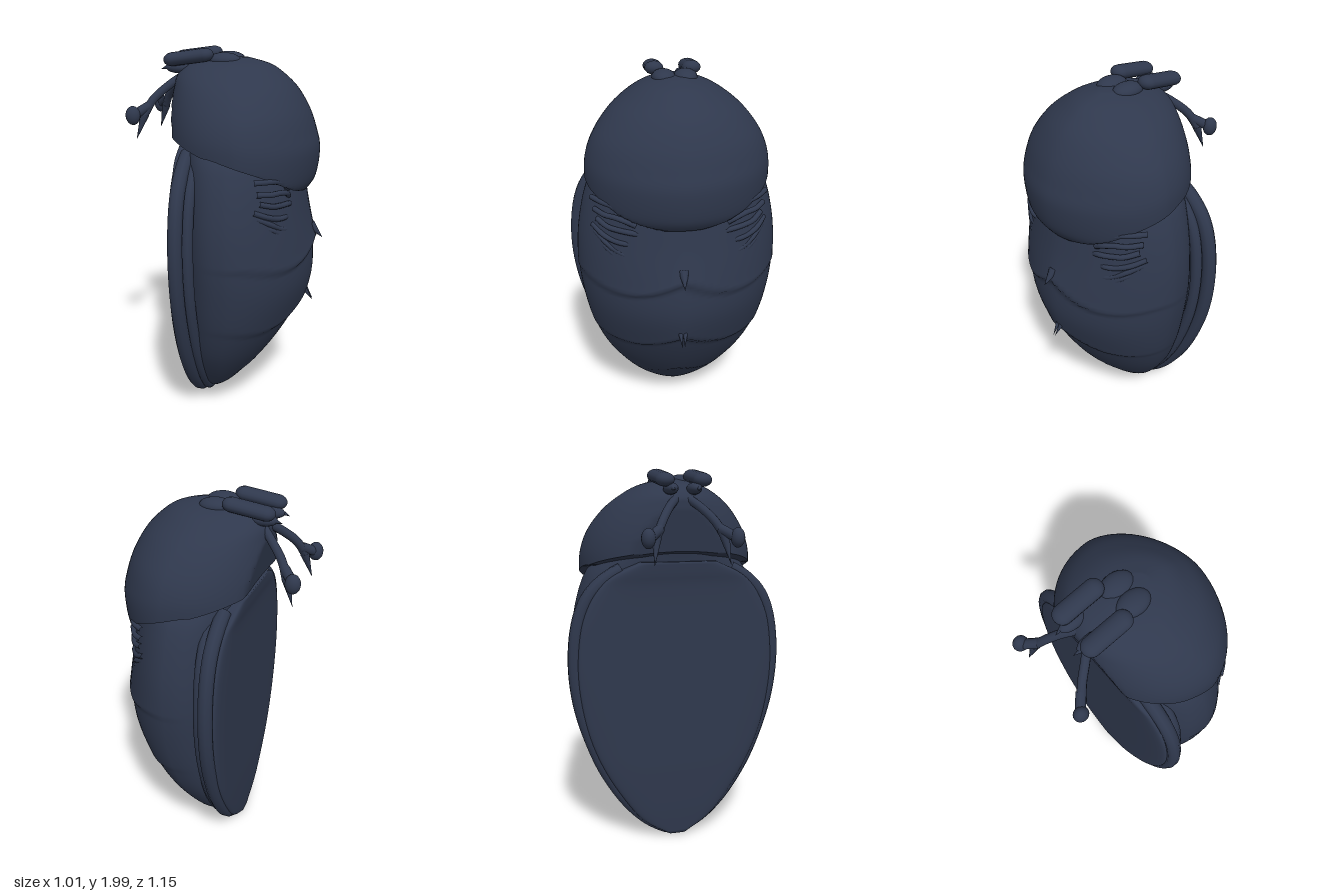
import * as THREE from 'three';

const shell = new THREE.MeshStandardMaterial({ color: 0x2f384d });
shell.name = 'dark navy shell';
const clamp = THREE.MathUtils.clamp;
const V = (x, y, z) => new THREE.Vector3(x, y, z);

// Closed skin through horizontal sections; each row is [y, backX, frontX, widestX, halfZ].
// The powers set how full the front and back halves of each section are.
function loft(rows, rings, sides, frontPower, backPower, warp = (p) => p) {
  const ends = new THREE.CatmullRomCurve3(rows.map((r) => V(r[0], r[1], r[2])), false, 'catmullrom');
  const mids = new THREE.CatmullRomCurve3(rows.map((r) => V(r[0], r[3], r[4])), false, 'catmullrom');
  const pos = [], idx = [];
  for (let i = 0; i <= rings; i++) {
    const e = ends.getPoint(i / rings), m = mids.getPoint(i / rings);
    for (let j = 0; j < sides; j++) {
      const a = (j / sides) * Math.PI * 2, front = Math.cos(a) > 0;
      const bend = (c) => Math.sign(c) * Math.pow(Math.abs(c), 2 / (front ? frontPower : backPower));
      const reach = front ? e.z - m.y : m.y - e.y;
      const p = V(m.y + bend(Math.cos(a)) * reach, e.x, bend(Math.sin(a)) * m.z);
      pos.push(...warp(p, m.y).toArray());
    }
  }
  for (let i = 0; i < rings; i++) {
    for (let j = 0; j < sides; j++) {
      const k = (j + 1) % sides, a = i * sides + j, b = i * sides + k;
      idx.push(a, a + sides, b, b, a + sides, b + sides);
    }
  }
  // end caps
  const first = rows[0], last = rows[rows.length - 1], n = (rings + 1) * sides;
  pos.push(...warp(V(first[3], first[0], 0), first[3]).toArray());
  pos.push(...warp(V(last[3], last[0], 0), last[3]).toArray());
  for (let j = 0; j < sides; j++) {
    const k = (j + 1) % sides, top = rings * sides;
    idx.push(n, j, k, n + 1, top + k, top + j);
  }
  const g = new THREE.BufferGeometry();
  g.setAttribute('position', new THREE.Float32BufferAttribute(pos, 3));
  g.setIndex(idx);
  g.computeVertexNormals();
  return g;
}

export function createModel() {
  const model = new THREE.Group();
  const add = (name, geometry, parent = model) => {
    const m = new THREE.Mesh(geometry, shell);
    m.name = name;
    parent.add(m);
    return m;
  };
  const blob = (name, parent, p, sx, sy, sz) => {
    const m = add(name, new THREE.SphereGeometry(1, 20, 14), parent);
    m.position.copy(p);
    m.scale.set(sx, sy, sz);
    return m;
  };
  const tube = (name, parent, pts, r, steps = 24) =>
    add(name, new THREE.TubeGeometry(new THREE.CatmullRomCurve3(pts), steps, r, 10), parent);
  const aim = (m, a, b) => {
    m.position.copy(a).lerp(b, 0.5);
    m.quaternion.setFromUnitVectors(V(0, 1, 0), b.clone().sub(a).normalize());
    return m;
  };
  const spike = (name, parent, a, b, r) =>
    aim(add(name, new THREE.ConeGeometry(r, a.distanceTo(b), 10), parent), a, b);

  // Abdomen with overlapping scalloped belly plates
  const ridges = [[1.01, 0.045], [0.65, 0.045], [0.29, 0.035]];
  const belly = (p, c) => {
    const dip = 0.09 * Math.sin((Math.PI * Math.min(Math.abs(p.z), 0.5)) / 0.6);
    let grow = 0;
    for (const [y, h] of ridges) {
      const d = p.y - (y - dip);
      if (d > 0) grow += h * Math.exp(-d / 0.1) * Math.min(1, d / 0.02);
    }
    grow *= clamp((p.x + 0.05) / 0.2, 0, 1);
    return V(c + (p.x - c) * (1 + grow * 1.5), p.y, p.z * (1 + grow * 0.3));
  };
  add('abdomen', loft([
    [0.055, -0.16, -0.07, -0.11, 0.06], [0.1, -0.18, 0.0, -0.08, 0.14],
    [0.2, -0.2, 0.095, -0.04, 0.25], [0.4, -0.2, 0.25, 0.01, 0.385],
    [0.6, -0.2, 0.365, 0.05, 0.465], [0.8, -0.2, 0.44, 0.07, 0.51],
    [1.0, -0.2, 0.445, 0.07, 0.53], [1.2, -0.2, 0.415, 0.07, 0.52],
    [1.4, -0.2, 0.375, 0.06, 0.475], [1.52, -0.21, 0.32, 0.05, 0.41],
    [1.65, -0.23, 0.2, 0.0, 0.26],
  ], 120, 72, 1.75, 2.5, belly));

  // Flat back plate with rounded shoulders below the hood
  const lean = (y) => -0.22 - 0.17 * clamp(y - 1.4, 0, 0.4);
  add('backPlate', loft([
    [0.025, -0.205, -0.13, -0.17, 0.05], [0.1, -0.21, -0.12, -0.17, 0.17],
    [0.2, -0.215, -0.12, -0.17, 0.26], [0.4, -0.22, -0.12, -0.17, 0.385],
    [0.6, -0.22, -0.12, -0.17, 0.47], [0.8, -0.22, -0.12, -0.17, 0.515],
    [1.0, -0.22, -0.12, -0.17, 0.53], [1.2, -0.22, -0.12, -0.17, 0.51],
    [1.33, -0.22, -0.12, -0.17, 0.465], [1.42, -0.222, -0.12, -0.17, 0.405],
    [1.48, -0.23, -0.13, -0.18, 0.33], [1.54, -0.235, -0.14, -0.19, 0.2],
  ], 48, 64, 6, 6));

  // Raised rims around the back plate
  const half = [[1.5, 0.29], [1.455, 0.37], [1.38, 0.45], [1.3, 0.495], [1.18, 0.527], [1.0, 0.54],
    [0.8, 0.52], [0.6, 0.465], [0.4, 0.38], [0.2, 0.245], [0.09, 0.12]];
  const rim = (x, k, low) => [
    ...half.map(([y, z]) => V(x, y, z * k)), V(x, low, 0),
    ...half.slice().reverse().map(([y, z]) => V(x, y, -z * k)),
  ];
  tube('outerRim', model, rim(-0.16, 1, 0.043), 0.038, 120);
  tube('innerRim', model, rim(-0.11, 0.92, 0.09), 0.03, 120);

  // Domed hood: flat at the back, lower edge slanting down toward the belly
  const hoodEdge = (p) => {
    const t = clamp(p.x / 0.4, 0, 1);
    const edge = 1.515 - 0.12 * t - 0.1 * t ** 4 + 0.3 * Math.max(0, -p.x - 0.04);
    const y = Math.max(p.y, edge);
    return V(Math.max(p.x, lean(y) - 0.002), y, p.z);
  };
  add('hood', loft([
    [1.28, -0.3, 0.4, 0.1, 0.43], [1.36, -0.31, 0.448, 0.1, 0.46],
    [1.5, -0.32, 0.464, 0.1, 0.47], [1.6, -0.32, 0.442, 0.09, 0.46],
    [1.7, -0.315, 0.405, 0.08, 0.42], [1.8, -0.3, 0.345, 0.05, 0.345],
    [1.87, -0.28, 0.275, 0.02, 0.26], [1.92, -0.22, 0.2, 0.01, 0.17],
    [1.952, -0.1, 0.09, 0, 0.06],
  ], 70, 72, 1.78, 2.05, hoodEdge));

  // Mirrored details
  for (const s of [-1, 1]) {
    const side = new THREE.Group();
    side.name = s > 0 ? 'leftDetails' : 'rightDetails';
    model.add(side);

    // long eye lobes and brow bumps on the crown
    const lobe = add('eyeLobe', new THREE.CapsuleGeometry(0.046, 0.17, 8, 16), side);
    aim(lobe, V(-0.295, 1.942, 0.095 * s), V(-0.12, 1.966, 0.095 * s));
    lobe.scale.set(0.75, 1, 1.05);
    blob('browBump', side, V(-0.03, 1.94, 0.055 * s), 0.085, 0.038, 0.06);
    blob('cheek', side, V(-0.27, 1.9, 0.06 * s), 0.07, 0.03, 0.035);
    spike('mouthHook', side, V(-0.3, 1.91, 0.07 * s), V(-0.365, 1.89, 0.06 * s), 0.02);

    // feeler with a knob and a downward spur
    tube('feeler', side, [V(-0.24, 1.87, 0.01 * s), V(-0.32, 1.81, 0.08 * s),
      V(-0.39, 1.74, 0.135 * s), V(-0.43, 1.66, 0.175 * s)], 0.022);
    blob('feelerKnob', side, V(-0.47, 1.67, 0.22 * s), 0.038, 0.048, 0.034);
    tube('knobStem', side, [V(-0.41, 1.71, 0.15 * s), V(-0.47, 1.67, 0.215 * s)], 0.025, 4);
    spike('feelerSpur', side, V(-0.425, 1.67, 0.17 * s), V(-0.468, 1.54, 0.19 * s), 0.024);

    // folded wrinkles under the hood, rising outward
    for (let i = 0; i < 6; i++) {
      const pts = [];
      for (let j = 0; j <= 4; j++) {
        const z = 0.24 + 0.05 * j - 0.012 * (i % 3);
        const y = 1.34 - 0.05 * i + 0.02 * Math.sin(j * 0.9 + i * 0.8) + 0.02 * j;
        const x = 0.07 + 0.34 * Math.pow(1 - (z / 0.52) ** 1.75, 1 / 1.75);
        pts.push(V(x - (j % 4 ? 0 : 0.02), y, z * s));
      }
      tube('wrinkle', side, pts, 0.014);
    }
    spike('lowerBarb', side, V(0.4, 0.73, 0.015 * s), V(0.46, 0.645, 0.006 * s), 0.018);
  }

  // Barb on the belly midline
  spike('bellyBarb', model, V(0.43, 1.085, 0), V(0.5, 1.015, 0), 0.028);

  return model;
}
